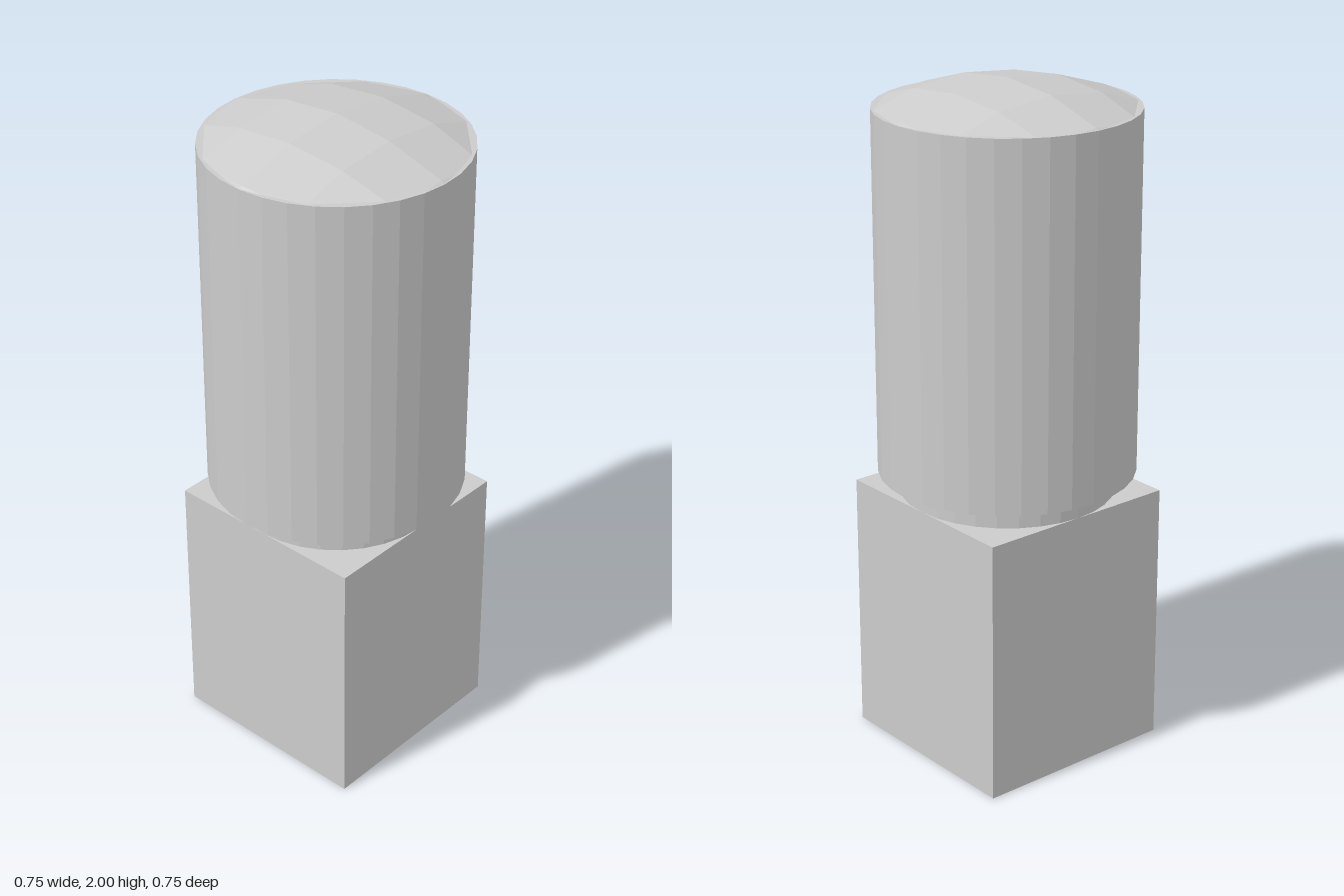
import * as THREE from 'three';
import { ConvexGeometry } from 'three/addons/geometries/ConvexGeometry.js';

const BASE_W = 0.63, BASE_H = 0.79, NECK_TOP = 0.853, RIM = 1.922;
const DOME_R = 0.95, STEP = Math.PI / 16;

// Low-poly sphere (poles along z) sliced off at the rim plane
function domeGeometry() {
  const centreY = 2 - DOME_R;
  const node = (i, j) => new THREE.Vector3(
    DOME_R * Math.sin(i * STEP) * Math.cos(j * STEP),
    centreY + DOME_R * Math.cos(i * STEP) * Math.cos(j * STEP),
    DOME_R * Math.sin(j * STEP));
  const points = [];
  for (let i = -3; i <= 3; i++) for (let j = -3; j <= 3; j++) {
    const a = node(i, j);
    if (a.y < RIM) continue;
    points.push(a);
    // Points where the grid edges pass through the rim plane
    for (const [di, dj] of [[1, 0], [-1, 0], [0, 1], [0, -1]]) {
      const b = node(i + di, j + dj);
      if (b.y < RIM) points.push(a.clone().lerp(b, (a.y - RIM) / (a.y - b.y)));
    }
  }
  return new ConvexGeometry(points);
}

export function createModel() {
  const model = new THREE.Group();
  const material = new THREE.MeshStandardMaterial({ color: 0xcccccc, flatShading: true });
  const add = (name, geometry, y = 0) => {
    const mesh = new THREE.Mesh(geometry, material);
    mesh.name = name;
    mesh.position.y = y;
    model.add(mesh);
  };
  const cylinder = (name, r, y0, y1) =>
    add(name, new THREE.CylinderGeometry(r, r, y1 - y0, 32), (y0 + y1) / 2);

  // Square base, short neck and round barrel
  add('base', new THREE.BoxGeometry(BASE_W, BASE_H, BASE_W), BASE_H / 2);
  cylinder('neck', BASE_W / 2, BASE_H, NECK_TOP);
  cylinder('barrel', 0.377, NECK_TOP, RIM);

  // Shallow faceted dome on the barrel
  add('dome', domeGeometry());
  return model;
}
